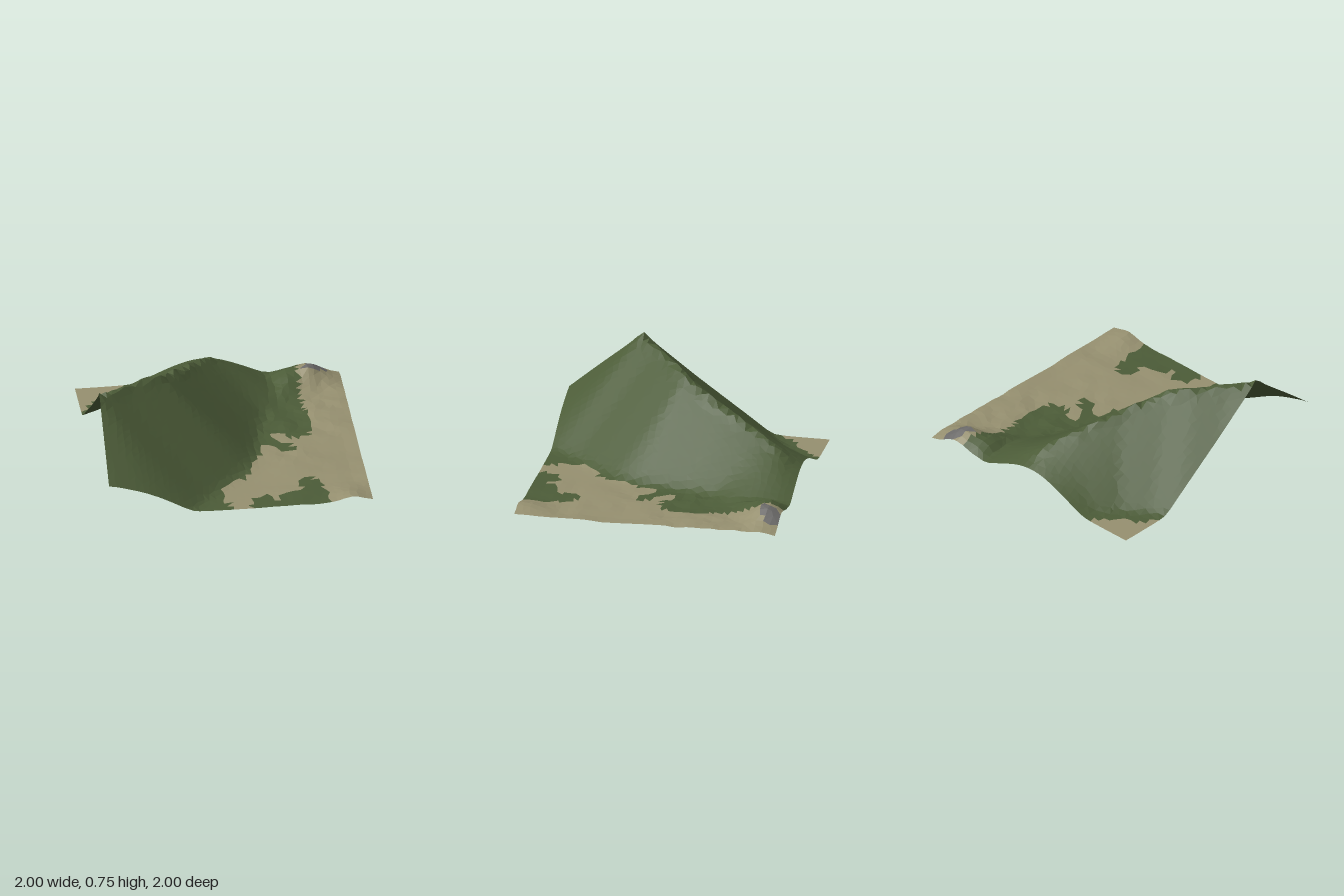
import * as THREE from 'three';

// crest of the mountain: x, z, height, side slope
const CREST = [
  [-1.08, 0.49, 0.72, 0.87], [-1, 0.43, 0.745, 0.87], [-0.84, 0.29, 0.705, 0.87],
  [-0.67, 0.14, 0.68, 0.87], [-0.5, 0, 0.645, 0.87], [-0.3, -0.3, 0.52, 0.85],
  [-0.13, -0.6, 0.41, 0.75], [-0.03, -0.77, 0.325, 0.56], [0.1, -1, 0.18, 0.55],
];

// outline of the bare valley floor, x and z
const VALLEY = [
  [0.68, -1.1], [0.65, -0.6], [0.7, -0.2], [0.65, -0.05], [0.5, -0.03], [0.4, -0.13], [0.32, -0.06],
  [0.45, 0.03], [0.53, 0.12], [0.47, 0.2], [0.35, 0.08], [0.28, 0.07], [0.27, 0.2], [0.2, 0.25],
  [0.17, 0.4], [0.08, 0.55], [-0.05, 0.6], [-0.13, 0.8], [0, 1.1], [0.08, 1], [0.1, 0.87],
  [0.22, 0.8], [0.28, 0.9], [0.37, 0.78], [0.5, 0.77], [0.47, 0.65], [0.57, 0.58], [0.65, 0.65],
  [0.7, 1.1], [1.1, 1.1], [1.1, -1.1],
];

const CELLS = 38;

// repeatable noise in -1..1
function hash(i, j) {
  const s = Math.sin(i * 127.1 + j * 311.7) * 43758.5453;
  return (s - Math.floor(s)) * 2 - 1;
}

// smooth noise between lattice points
function noise(x, z) {
  const i = Math.floor(x), j = Math.floor(z);
  const u = x - i, v = z - j;
  const lerp = THREE.MathUtils.lerp;
  return lerp(lerp(hash(i, j), hash(i + 1, j), u), lerp(hash(i, j + 1), hash(i + 1, j + 1), u), v);
}

function bump(x, z, cx, cz, rx, rz) {
  return Math.exp(-(((x - cx) / rx) ** 2) - ((z - cz) / rz) ** 2);
}

// crest points sampled evenly along the polyline
const crestPoints = [];
for (let k = 0; k < CREST.length - 1; k++) {
  for (let s = 0; s < 12; s++) {
    crestPoints.push(CREST[k].map((a, c) => THREE.MathUtils.lerp(a, CREST[k + 1][c], s / 12)));
  }
}
crestPoints.push(CREST[CREST.length - 1]);

function heightAt(x, z) {
  // straight scree slopes falling away from the crest
  let slope = -1, nearest = 9;
  for (const [cx, cz, h, k] of crestPoints) {
    const d = Math.hypot(x - cx, z - cz);
    slope = Math.max(slope, h - k * d);
    nearest = Math.min(nearest, d);
  }
  // jagged crest
  slope += Math.max(0, 1 - nearest / 0.08) * (0.006 + 0.016 * noise(x * 14, z * 14));

  // low hills and uneven ground on the valley side
  const side = THREE.MathUtils.smoothstep(x, 0.1, 0.5);
  let floor = 0.004;
  floor += 0.125 * bump(x, z, 0.75, -0.89, 0.12, 0.14);
  floor += 0.1 * bump(x, z, 0.56, -0.84, 0.12, 0.2);
  floor += 0.045 * bump(x, z, 0.85, 1, 0.11, 0.18);
  floor += 0.02 * bump(x, z, 0.92, -0.6, 0.16, 0.5);
  floor += side * 0.008 * (1 + noise(x * 9 + 40, z * 9));
  const rough = THREE.MathUtils.smoothstep(x, 0, 0.3) * THREE.MathUtils.smoothstep(-z, -0.1, 0.4);
  floor += rough * 0.016 * noise(x * 12, z * 12);

  // soft join between slope and floor
  const h = 0.5 * (slope + floor + Math.sqrt((slope - floor) ** 2 + 0.0008));
  return Math.max(0, h - 0.004);
}

function inside(x, z, outline) {
  let hit = false;
  outline.forEach(([ax, az], i) => {
    const [bx, bz] = outline[(i + 1) % outline.length];
    if (az > z !== bz > z && x < ax + ((z - az) / (bz - az)) * (bx - ax)) hit = !hit;
  });
  return hit;
}

function groundType(x, z) {
  const along = (x - 0.8) * 0.7 - (z + 0.92) * 0.7;
  const across = (x - 0.8) * 0.7 + (z + 0.92) * 0.7;
  if ((along / 0.12) ** 2 + (across / 0.06) ** 2 < 1) return 'rock';
  if (x + z < -1.62 + 0.05 * noise(x * 9, z * 9) || inside(x, z, VALLEY)) return 'sand';
  return 'grass';
}

export function createModel() {
  const group = new THREE.Group();
  group.name = 'mountainTerrain';

  // jittered grid of ground points, straight along the borders
  const points = [];
  for (let j = 0; j <= CELLS; j++) {
    for (let i = 0; i <= CELLS; i++) {
      const step = 2 / CELLS;
      const jx = i > 0 && i < CELLS ? hash(i, j) * 0.25 : 0;
      const jz = j > 0 && j < CELLS ? hash(i + 70, j + 30) * 0.25 : 0;
      const x = -1 + (i + jx) * step, z = -1 + (j + jz) * step;
      points.push(new THREE.Vector3(x, heightAt(x, z), z));
    }
  }

  // sort the triangles by ground cover
  const cover = { grass: [], sand: [], rock: [] };
  function addTriangle(a, b, c) {
    const x = (a.x + b.x + c.x) / 3, z = (a.z + b.z + c.z) / 3;
    for (const p of [a, b, c]) cover[groundType(x, z)].push(p.x, p.y, p.z);
  }
  const row = CELLS + 1;
  for (let j = 0; j < CELLS; j++) {
    for (let i = 0; i < CELLS; i++) {
      const n = j * row + i;
      const a = points[n], b = points[n + 1], c = points[n + row], d = points[n + row + 1];
      // the shorter diagonal splits each cell
      if (b.distanceTo(c) < a.distanceTo(d)) {
        addTriangle(a, c, b);
        addTriangle(b, c, d);
      } else {
        addTriangle(a, c, d);
        addTriangle(a, d, b);
      }
    }
  }

  // one flat-shaded sheet per ground cover
  const colors = { grass: 0x4c5c38, sand: 0x969070, rock: 0x6c6b6a };
  for (const [name, positions] of Object.entries(cover)) {
    const geometry = new THREE.BufferGeometry();
    geometry.setAttribute('position', new THREE.Float32BufferAttribute(positions, 3));
    geometry.computeVertexNormals();
    const material = new THREE.MeshStandardMaterial({
      color: colors[name], flatShading: true, side: THREE.DoubleSide,
    });
    const mesh = new THREE.Mesh(geometry, material);
    mesh.name = name + 'Ground';
    group.add(mesh);
  }
  return group;
}
